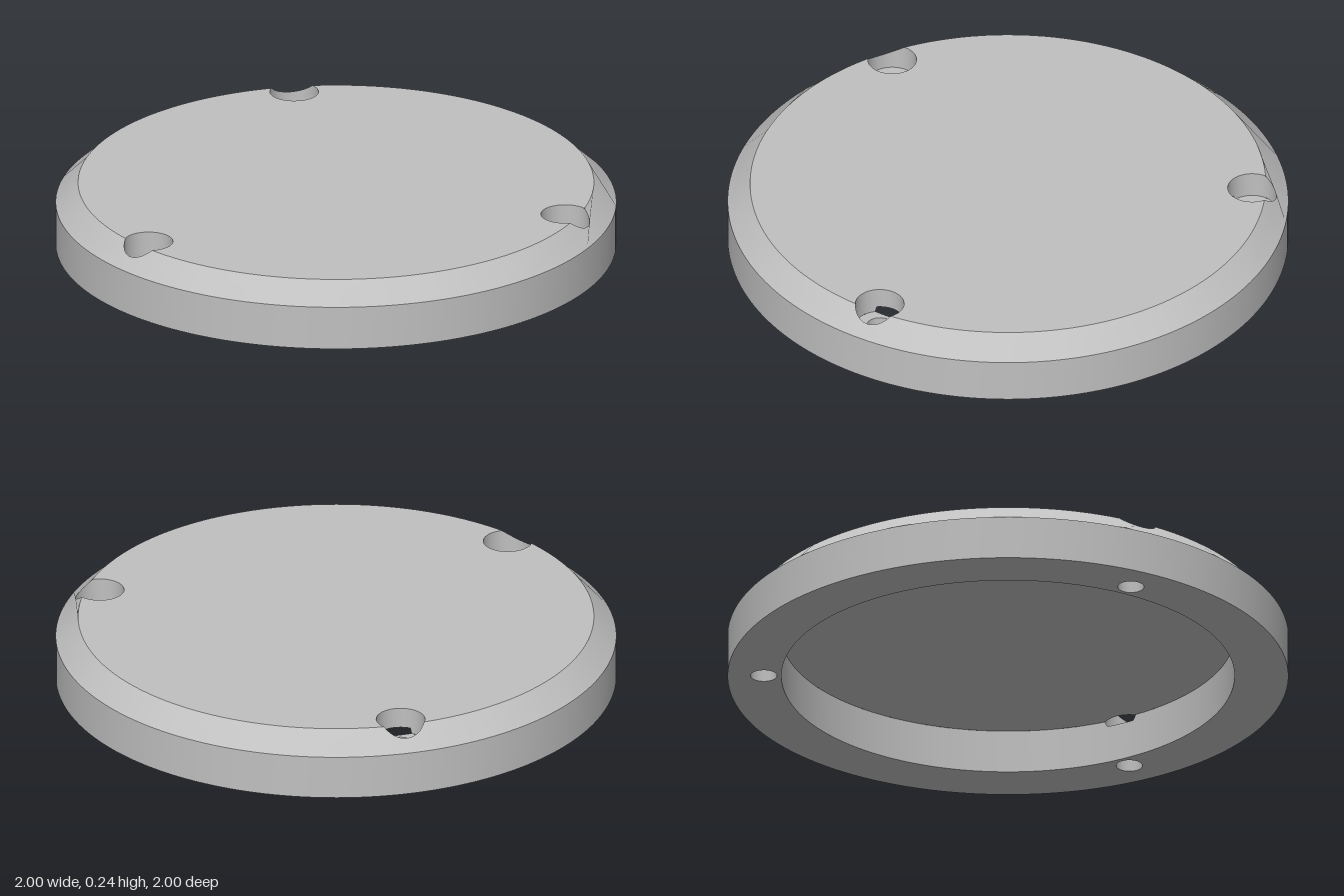
import * as THREE from 'three';

// Main dimensions
const RIM = 1, TOP_R = 0.92, RECESS_R = 0.808;
const SHOULDER = 0.16, TOP = 0.235, CEILING = 0.16, SEAT = 0.14;
const BORE_D = 0.871, BORE_R = 0.087, HOLE_R = 0.047;
const BORES = [0, 1, 2].map(i => Math.PI / 2 + i * Math.PI * 2 / 3);

const polar = (r, a, c = new THREE.Vector2()) =>
  new THREE.Vector2(c.x + r * Math.cos(a), c.y + r * Math.sin(a));

function arc(r, a0, a1, n, c) {
  return Array.from({ length: n + 1 }, (_, i) => polar(r, a0 + (a1 - a0) * i / n, c));
}
const circle = (r, n, c) => arc(r, 0, Math.PI * 2, n, c).slice(0, -1);
const boreCentre = a => polar(BORE_D, a);
const chamferY = r => SHOULDER + (RIM - r) * (TOP - SHOULDER) / (RIM - TOP_R);

// Half angles at which a circle of radius R meets a counterbore
function crossing(R) {
  return {
    phi: Math.acos((R * R + BORE_D ** 2 - BORE_R ** 2) / (2 * R * BORE_D)),
    psi: Math.acos((BORE_D ** 2 + BORE_R ** 2 - R * R) / (2 * BORE_D * BORE_R)),
  };
}

// Circle of radius R with the counterbores cut away (bulge false) or added on
function outline(R, bulge) {
  const { phi, psi } = crossing(R);
  const pts = [];
  for (const a of BORES) {
    const start = a + Math.PI + psi;
    const end = a + Math.PI + (bulge ? Math.PI * 2 - psi : -psi);
    pts.push(...arc(BORE_R, start, end, 32, boreCentre(a)).slice(0, -1));
    pts.push(...arc(R, a + phi, a + Math.PI * 2 / 3 - phi, 64).slice(0, -1));
  }
  return pts;
}

// Reverse a geometry so that it faces the other way
function flip(g) {
  const ix = g.index.array, n = g.attributes.normal;
  for (let i = 0; i < ix.length; i += 3) [ix[i], ix[i + 1]] = [ix[i + 1], ix[i]];
  for (let i = 0; i < n.count; i++) n.setXYZ(i, -n.getX(i), -n.getY(i), -n.getZ(i));
  return g;
}

// Horizontal face at height y, facing up
function plate(points, holes, y) {
  const shape = new THREE.Shape(points);
  shape.holes = holes.map(h => new THREE.Path(h));
  return new THREE.ShapeGeometry(shape).rotateX(-Math.PI / 2).translate(0, y, 0);
}

// Closed upright strip along a loop, facing outward
function wall(points, lo, hi) {
  const pos = [], index = [], n = points.length;
  points.forEach((p, i) => {
    pos.push(p.x, lo(p), -p.y, p.x, hi(p), -p.y);
    const a = 2 * i, b = 2 * ((i + 1) % n);
    index.push(a, b, b + 1, a, b + 1, a + 1);
  });
  const g = new THREE.BufferGeometry();
  g.setAttribute('position', new THREE.Float32BufferAttribute(pos, 3));
  g.setIndex(index);
  g.computeVertexNormals();
  return g;
}

// Sloping ring: a flat ring lifted onto the cone
function chamferRing() {
  const g = plate(circle(RIM, 240), [outline(TOP_R, true)], 0);
  const p = g.attributes.position, n = g.attributes.normal;
  const slope = (TOP - SHOULDER) / (RIM - TOP_R), len = Math.hypot(1, slope);
  for (let i = 0; i < p.count; i++) {
    const x = p.getX(i), z = p.getZ(i), r = Math.hypot(x, z);
    p.setY(i, chamferY(r));
    n.setXYZ(i, x / r * slope / len, 1 / len, z / r * slope / len);
  }
  return g;
}

export function createModel() {
  const group = new THREE.Group();
  group.name = 'roundCover';
  const grey = new THREE.MeshStandardMaterial({ color: 0xc0c0c0 });
  grey.name = 'grey';
  const add = (name, geometry, parent = group) => {
    const mesh = new THREE.Mesh(geometry, grey);
    mesh.name = name;
    parent.add(mesh);
  };
  const zero = () => 0;
  const holes = BORES.map(a => circle(HOLE_R, 40, boreCentre(a)));

  // Disc body
  add('topFace', plate(outline(TOP_R, false), [], TOP));
  add('chamfer', chamferRing());
  add('outerWall', wall(circle(RIM, 240), zero, () => SHOULDER));
  add('bottomRim', flip(plate(circle(RIM, 240), [circle(RECESS_R, 240), ...holes], 0)));

  // Recess underneath, opened where the counterbores break in
  const inBore = p => BORES.some(a => p.distanceTo(boreCentre(a)) < BORE_R);
  add('recessWall', flip(wall(circle(RECESS_R, 480), zero, p => inBore(p) ? SEAT : CEILING)));
  add('recessCeiling', flip(plate(outline(RECESS_R, false), [], CEILING)));

  // Three counterbored screw holes
  const { phi, psi } = crossing(RECESS_R);
  BORES.forEach((a, i) => {
    const screw = new THREE.Group();
    screw.name = 'screwHole' + (i + 1);
    group.add(screw);
    const c = boreCentre(a);
    add('counterboreWall', flip(wall(circle(BORE_R, 120, c),
      p => p.length() < RECESS_R ? CEILING : SEAT,
      p => Math.min(TOP, chamferY(p.length())))), screw);
    const seat = [
      ...arc(BORE_R, a + Math.PI + psi, a + Math.PI * 3 - psi, 64, c),
      ...arc(RECESS_R, a + phi, a - phi, 12).slice(1, -1),
    ];
    add('screwSeat', plate(seat, [holes[i]], SEAT), screw);
    add('holeWall', flip(wall(holes[i], zero, () => SEAT)), screw);
  });
  return group;
}
